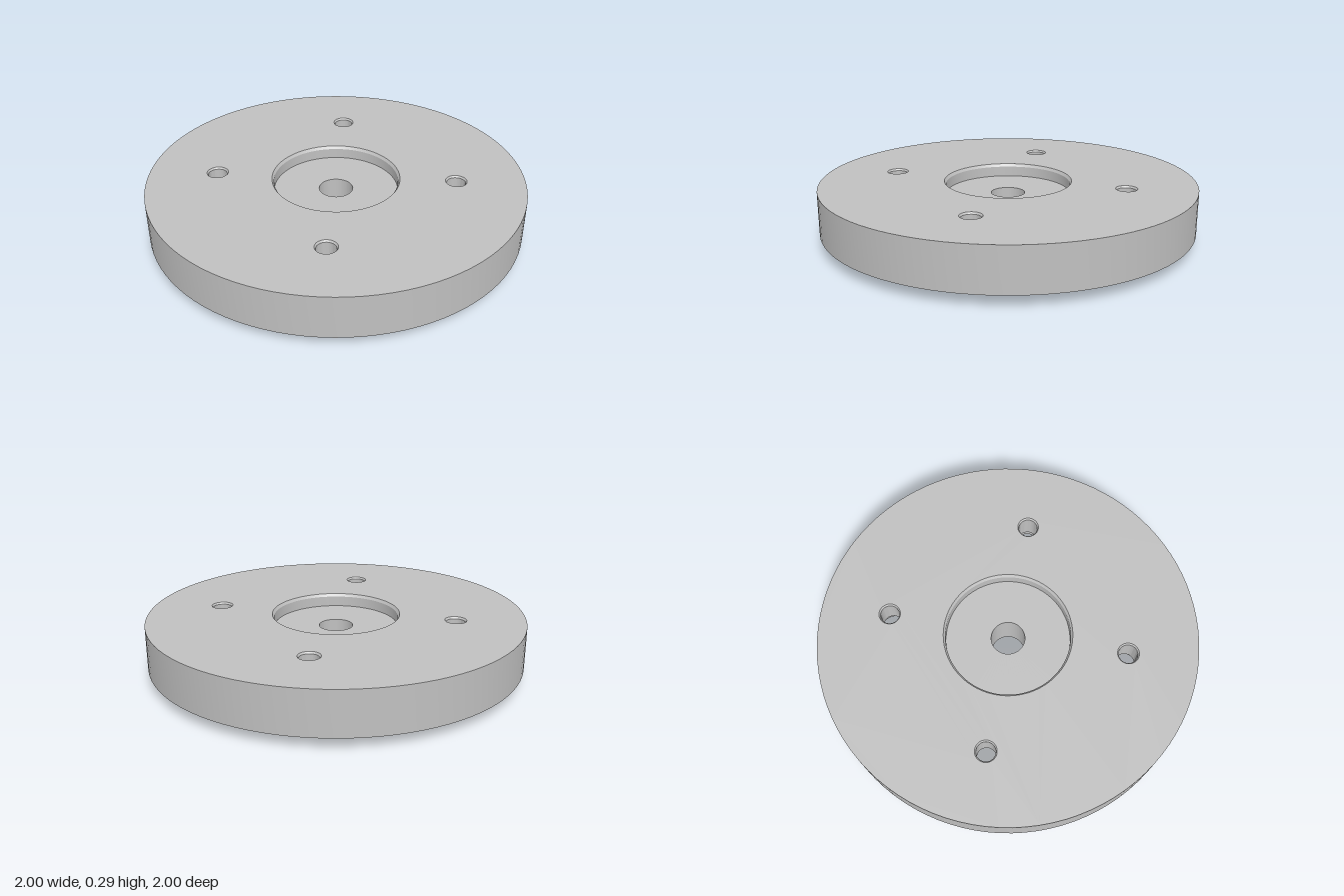
import * as THREE from 'three';
import { toCreasedNormals } from 'three/addons/utils/BufferGeometryUtils.js';

const TOP = 0.29, BASE = 0.06, SEG = 96;
const steel = new THREE.MeshStandardMaterial({ color: 0xc0c0c0 });
steel.name = 'steel grey';

// Revolved surface with sharp edges kept
function turned(name, profile) {
  const points = profile.map(([r, y]) => new THREE.Vector2(r, y));
  const geometry = toCreasedNormals(new THREE.LatheGeometry(points, SEG), Math.PI / 6);
  const mesh = new THREE.Mesh(geometry, steel);
  mesh.name = name;
  return mesh;
}

// Flat disc pierced by round holes [x, z, radius]
function face(name, holes, y, tilt) {
  const shape = new THREE.Shape().absarc(0, 0, 1, 0, Math.PI * 2);
  for (const [x, z, r] of holes) {
    shape.holes.push(new THREE.Path().absarc(x, z, r, 0, Math.PI * 2, true));
  }
  const geometry = new THREE.ShapeGeometry(shape, SEG / 2);
  geometry.rotateX(tilt).translate(0, y, 0);
  const mesh = new THREE.Mesh(geometry, steel);
  mesh.name = name;
  return mesh;
}

// Four points around the axis
const ring = (radius, start) => [0, 1, 2, 3].map((i) => {
  const a = start + i * Math.PI / 2;
  return [radius * Math.cos(a), radius * Math.sin(a)];
});

export function createModel() {
  const model = new THREE.Group();
  model.name = 'flange';
  const bolts = ring(0.636, Math.PI / 4);
  const pins = ring(0.87, 0);

  // Plate
  model.add(turned('rim', [[1, BASE], [1, TOP]]));
  model.add(face('topFace', [[0, 0, 0.34], ...bolts.map(([x, z]) => [x, z, 0.057])],
    TOP, -Math.PI / 2));
  model.add(face('bottomFace', [[0, 0, 0.315],
    ...bolts.map(([x, z]) => [x, z, 0.08]), ...pins.map(([x, z]) => [x, z, 0.06])],
    BASE, Math.PI / 2));

  // Chamfered recess, centre bore and filleted boss
  const fillet = [];
  for (let i = 0; i <= 8; i++) {
    const a = Math.PI - (i / 8) * Math.PI / 2;
    fillet.push([0.315 + 0.025 * Math.cos(a), 0.035 + 0.025 * Math.sin(a)]);
  }
  model.add(turned('hub', [[0.34, TOP], [0.33, 0.275], [0.33, 0.22], [0.09, 0.22],
    [0.09, 0], [0.29, 0], ...fillet]));

  // Counterbored through holes
  for (const [x, z] of bolts) {
    const hole = turned('boltHole', [[0.057, TOP], [0.05, 0.28], [0.05, 0.14],
      [0.08, 0.14], [0.08, BASE]]);
    hole.position.set(x, 0, z);
    model.add(hole);
  }

  // Blind holes in the underside
  for (const [x, z] of pins) {
    const hole = turned('pinHole', [[0, 0.21], [0.06, 0.21], [0.06, BASE]]);
    hole.position.set(x, 0, z);
    model.add(hole);
  }
  return model;
}
